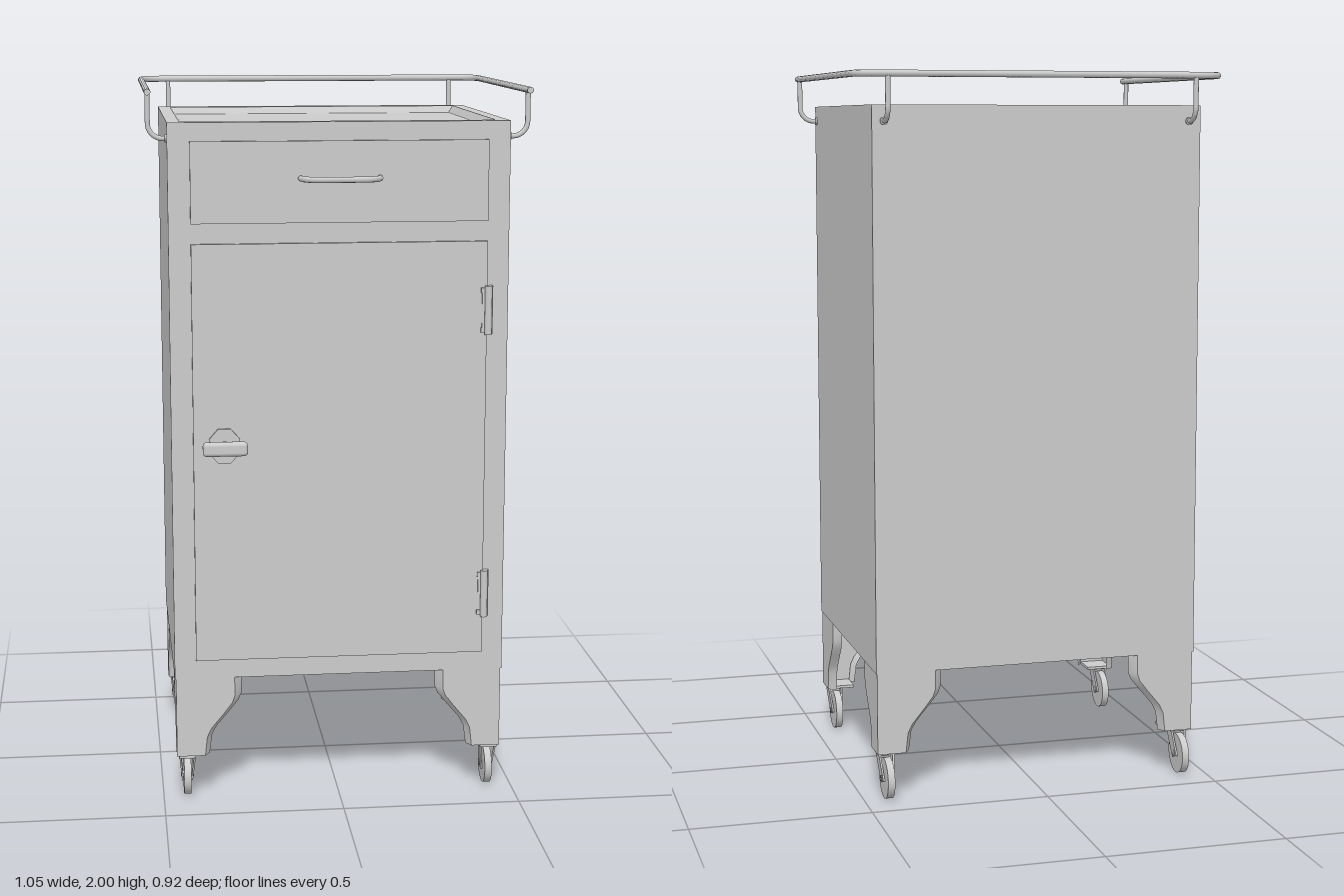
import * as THREE from 'three';
import { toCreasedNormals } from 'three/addons/utils/BufferGeometryUtils.js';
import { RoundedBoxGeometry } from 'three/addons/geometries/RoundedBoxGeometry.js';

const grey = new THREE.MeshStandardMaterial({ color: 0xcccccc, side: THREE.DoubleSide });
const V = (x, y, z) => new THREE.Vector3(x, y, z);

function add(parent, name, geometry, x = 0, y = 0, z = 0) {
  const mesh = new THREE.Mesh(geometry, grey);
  mesh.name = name;
  mesh.position.set(x, y, z);
  parent.add(mesh);
  return mesh;
}

function box(parent, name, x0, x1, y0, y1, z0, z1) {
  return add(parent, name, new THREE.BoxGeometry(x1 - x0, y1 - y0, z1 - z0),
    (x0 + x1) / 2, (y0 + y1) / 2, (z0 + z1) / 2);
}

// Bent rod through points, corners rounded by radius r
function rod(parent, name, pts, r, thickness, segments) {
  const path = new THREE.CurvePath();
  let from = pts[0];
  for (let i = 1; i < pts.length - 1; i++) {
    const p = pts[i];
    const a = p.clone().add(pts[i - 1].clone().sub(p).setLength(r));
    const b = p.clone().add(pts[i + 1].clone().sub(p).setLength(r));
    // Cubic handles close to a circular arc
    path.add(new THREE.LineCurve3(from, a));
    path.add(new THREE.CubicBezierCurve3(a, a.clone().lerp(p, 0.55), b.clone().lerp(p, 0.55), b));
    from = b;
  }
  path.add(new THREE.LineCurve3(from, pts[pts.length - 1]));
  return add(parent, name, new THREE.TubeGeometry(path, segments, thickness, 10));
}

// Flat-shaded solid through rectangular rings [x0, x1, z0, z1, y], capped at both ends
function loftRects(rings) {
  const pos = [], idx = [];
  for (const [x0, x1, z0, z1, y] of rings) pos.push(x0, y, z0, x0, y, z1, x1, y, z1, x1, y, z0);
  for (let i = 0; i < rings.length - 1; i++) {
    for (let j = 0; j < 4; j++) {
      const a = i * 4 + j, b = i * 4 + (j + 1) % 4;
      idx.push(a, b, b + 4, a, b + 4, a + 4);
    }
  }
  const t = (rings.length - 1) * 4;
  idx.push(0, 2, 1, 0, 3, 2, t, t + 1, t + 2, t, t + 2, t + 3);
  const g = new THREE.BufferGeometry();
  g.setAttribute('position', new THREE.Float32BufferAttribute(pos, 3));
  g.setIndex(idx);
  const flat = g.toNonIndexed();
  flat.computeVertexNormals();
  return flat;
}

// Leg wing: u runs from the corner toward the middle, z runs inward
const edge = [[0.165, 0.362], [0.165, 0.305], [0.158, 0.285], [0.135, 0.255], [0.098, 0.21], [0.086, 0.185], [0.08, 0.13]];
function wingGeometry() {
  const shape = new THREE.Shape([[0, 0.13], [0, 0.362], ...edge].map(p => new THREE.Vector2(...p)));
  return new THREE.ExtrudeGeometry(shape, { depth: 0.008, bevelEnabled: false });
}

// Angled lip along the shaped edge of a wing
function lipGeometry() {
  const pos = [], idx = [];
  edge.forEach(([u, y], i) => {
    pos.push(u, y, 0, u + 0.021 - i * 0.0012, y, 0.024);
    if (i) idx.push(2 * i - 2, 2 * i - 1, 2 * i, 2 * i, 2 * i - 1, 2 * i + 1);
  });
  const g = new THREE.BufferGeometry();
  g.setAttribute('position', new THREE.Float32BufferAttribute(pos, 3));
  g.setIndex(idx);
  return toCreasedNormals(g, 0.6);
}

function makeLeg(sx, z, sz) {
  const leg = new THREE.Group();
  leg.name = 'leg';
  leg.position.set(sx * 0.462, 0, z);
  leg.scale.set(-sx, 1, -sz);
  for (const turned of [false, true]) {
    for (const [name, g] of [['legWing', wingGeometry()], ['legLip', lipGeometry()]]) {
      const m = add(leg, name, g);
      if (turned) { m.rotation.y = -Math.PI / 2; m.scale.z = -1; }
    }
  }
  box(leg, 'footPlate', 0.002, 0.08, 0.13, 0.138, 0.002, 0.08);
  return leg;
}

function makeCaster(x, z) {
  const caster = new THREE.Group();
  caster.name = 'caster';
  caster.position.set(x, 0.058, z);
  const wheel = new THREE.CylinderGeometry(0.057, 0.057, 0.02, 28).rotateZ(Math.PI / 2);
  add(caster, 'wheel', toCreasedNormals(wheel, 0.6));
  const axle = new THREE.CylinderGeometry(0.009, 0.009, 0.036, 12).rotateZ(Math.PI / 2);
  add(caster, 'axle', axle);
  // Fork arms lean forward and spread toward the top
  for (const s of [-1, 1]) {
    const arm = add(caster, 'forkArm', new THREE.BoxGeometry(0.005, 0.09, 0.034), s * 0.017, 0.032, 0.012);
    arm.rotation.set(0.36, 0, -s * 0.09);
  }
  box(caster, 'forkCrown', -0.024, 0.024, 0.063, 0.075, 0.004, 0.048);
  return caster;
}

export function createModel() {
  const model = new THREE.Group();
  model.name = 'trolleyCabinet';

  // Cabinet with a shallow tray sunk into its top
  add(model, 'cabinet', loftRects([
    [-0.465, 0.465, -0.405, 0.385, 0.36],
    [-0.465, 0.465, -0.405, 0.385, 1.91],
    [-0.43, 0.43, -0.36, 0.347, 1.91],
    [-0.415, 0.415, -0.348, 0.335, 1.89],
  ]));
  box(model, 'drawerFront', -0.405, 0.405, 1.64, 1.86, 0.38, 0.395);
  box(model, 'door', -0.405, 0.405, 0.415, 1.585, 0.38, 0.395);

  // Drawer handle
  rod(model, 'drawerHandle', [V(-0.107, 1.76, 0.39), V(-0.107, 1.76, 0.45), V(0.107, 1.76, 0.45), V(0.107, 1.76, 0.39)],
    0.05, 0.008, 48);

  // Door latch
  const latch = new THREE.Group();
  latch.name = 'latch';
  latch.position.set(-0.32, 1.03, 0.395);
  const plate = new THREE.CylinderGeometry(0.052, 0.052, 0.007, 8).rotateY(Math.PI / 8).rotateX(Math.PI / 2);
  add(latch, 'latchPlate', toCreasedNormals(plate, 0.5), 0, 0, 0.0035).scale.x = 0.88;
  add(latch, 'latchNeck', new THREE.CylinderGeometry(0.009, 0.015, 0.036, 16).rotateX(Math.PI / 2), 0, 0, 0.02);
  add(latch, 'latchGrip', new RoundedBoxGeometry(0.123, 0.04, 0.025, 3, 0.011), 0, 0, 0.043);
  model.add(latch);

  // Hinges: barrel, side leaf and two straps
  for (const y of [0.588, 1.395]) {
    const hinge = new THREE.Group();
    hinge.name = 'hinge';
    hinge.position.y = y;
    add(hinge, 'hingeBarrel', new THREE.CylinderGeometry(0.01, 0.01, 0.135, 14), 0.408, 0, 0.4);
    box(hinge, 'hingeLeaf', 0.405, 0.421, -0.067, 0.067, 0.38, 0.397);
    for (const s of [-1, 1]) box(hinge, 'hingeStrap', 0.388, 0.41, s * 0.055 - 0.007, s * 0.055 + 0.007, 0.39, 0.4);
    box(hinge, 'hingeDoorLeaf', 0.391, 0.408, -0.05, 0.05, 0.39, 0.398);
    model.add(hinge);
  }

  // Guard rail, open at the front
  const rail = new THREE.Group();
  rail.name = 'guardRail';
  rod(rail, 'railBar', [V(-0.515, 1.991, 0.393), V(-0.515, 1.991, -0.455), V(0.515, 1.991, -0.455), V(0.515, 1.991, 0.393)],
    0.06, 0.009, 160);
  for (const s of [-1, 1]) {
    add(rail, 'railEnd', new THREE.CylinderGeometry(0.009, 0.009, 0.003, 10).rotateX(Math.PI / 2), s * 0.515, 1.991, 0.393);
    rod(rail, 'sidePost', [V(s * 0.515, 1.991, 0.362), V(s * 0.515, 1.867, 0.362), V(s * 0.46, 1.867, 0.362)], 0.04, 0.007, 32);
    rod(rail, 'backPost', [V(s * 0.432, 1.991, -0.455), V(s * 0.432, 1.867, -0.455), V(s * 0.432, 1.867, -0.4)], 0.04, 0.007, 32);
    add(rail, 'sideFlange', new THREE.CylinderGeometry(0.011, 0.011, 0.005, 14).rotateZ(Math.PI / 2), s * 0.467, 1.867, 0.362);
    add(rail, 'backFlange', new THREE.CylinderGeometry(0.011, 0.011, 0.005, 14).rotateX(Math.PI / 2), s * 0.432, 1.867, -0.407);
  }
  model.add(rail);

  // Legs and casters
  for (const s of [-1, 1]) {
    model.add(makeLeg(s, 0.384, 1), makeLeg(s, -0.402, -1));
    model.add(makeCaster(s * 0.432, 0.33), makeCaster(s * 0.432, -0.385));
  }
  return model;
}
